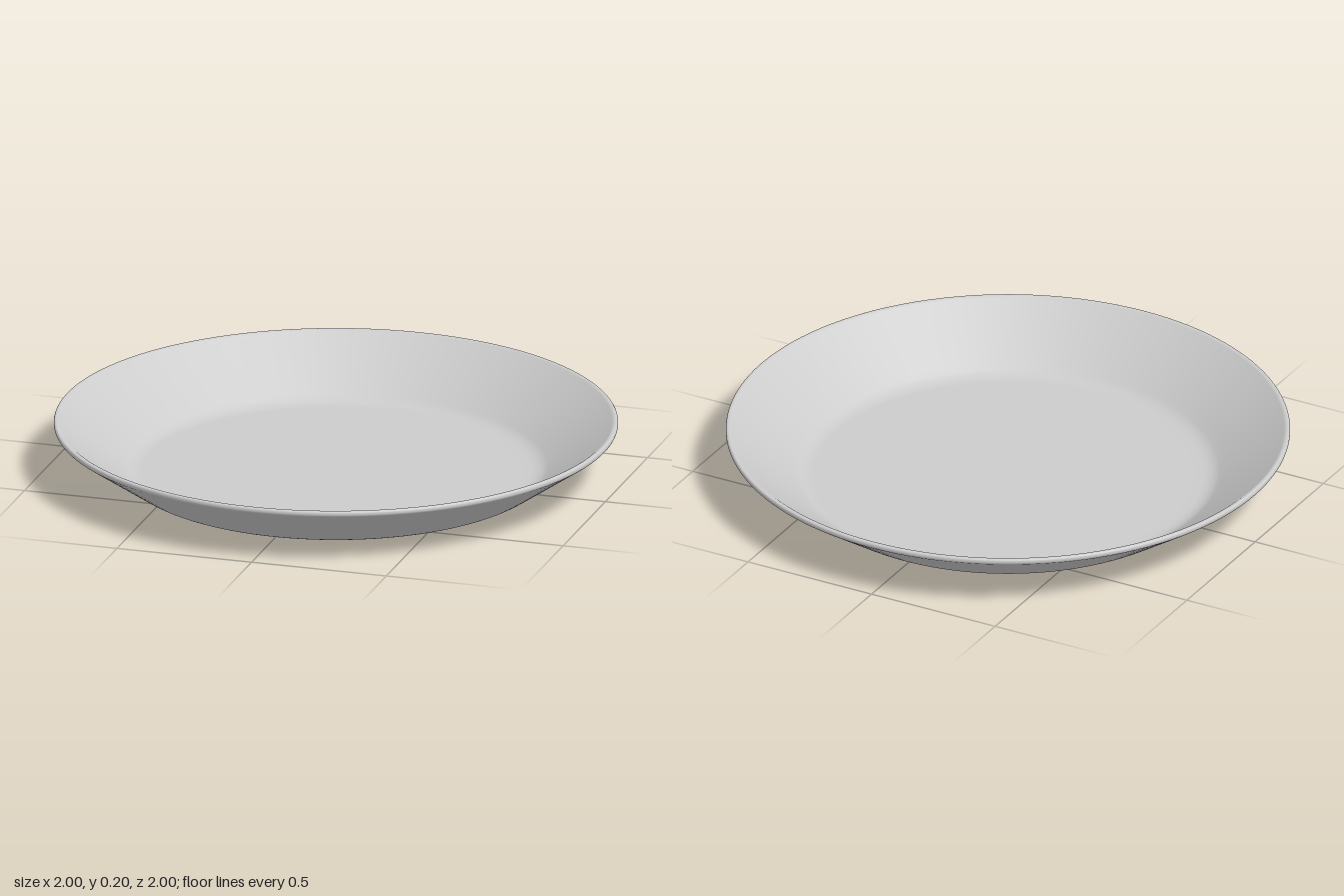
import * as THREE from 'three';

export function createModel() {
  const model = new THREE.Group();
  model.name = 'plate';

  // Half section: underside, flared wall, rounded lip, then back down the inside
  const profile = new THREE.Path();
  profile.moveTo(0, 0);
  profile.lineTo(0.66, 0);
  profile.lineTo(0.69, 0);
  profile.quadraticCurveTo(0.73, 0, 0.757, 0.019);
  profile.lineTo(0.78, 0.0345);
  profile.lineTo(0.97, 0.165);
  profile.lineTo(0.993, 0.181);
  profile.quadraticCurveTo(1.0, 0.186, 1.0, 0.193);
  profile.quadraticCurveTo(1.0, 0.204, 0.991, 0.204);
  profile.quadraticCurveTo(0.984, 0.204, 0.978, 0.199);
  profile.lineTo(0.96, 0.1855);
  profile.lineTo(0.77, 0.045);
  profile.lineTo(0.75, 0.031);
  profile.quadraticCurveTo(0.724, 0.013, 0.685, 0.013);
  profile.lineTo(0.66, 0.013);
  profile.lineTo(0, 0.013);

  const dish = new THREE.Mesh(
    new THREE.LatheGeometry(profile.getPoints(8), 128),
    new THREE.MeshStandardMaterial({ color: 0xcccccc })
  );
  dish.name = 'dish';
  model.add(dish);

  return model;
}
